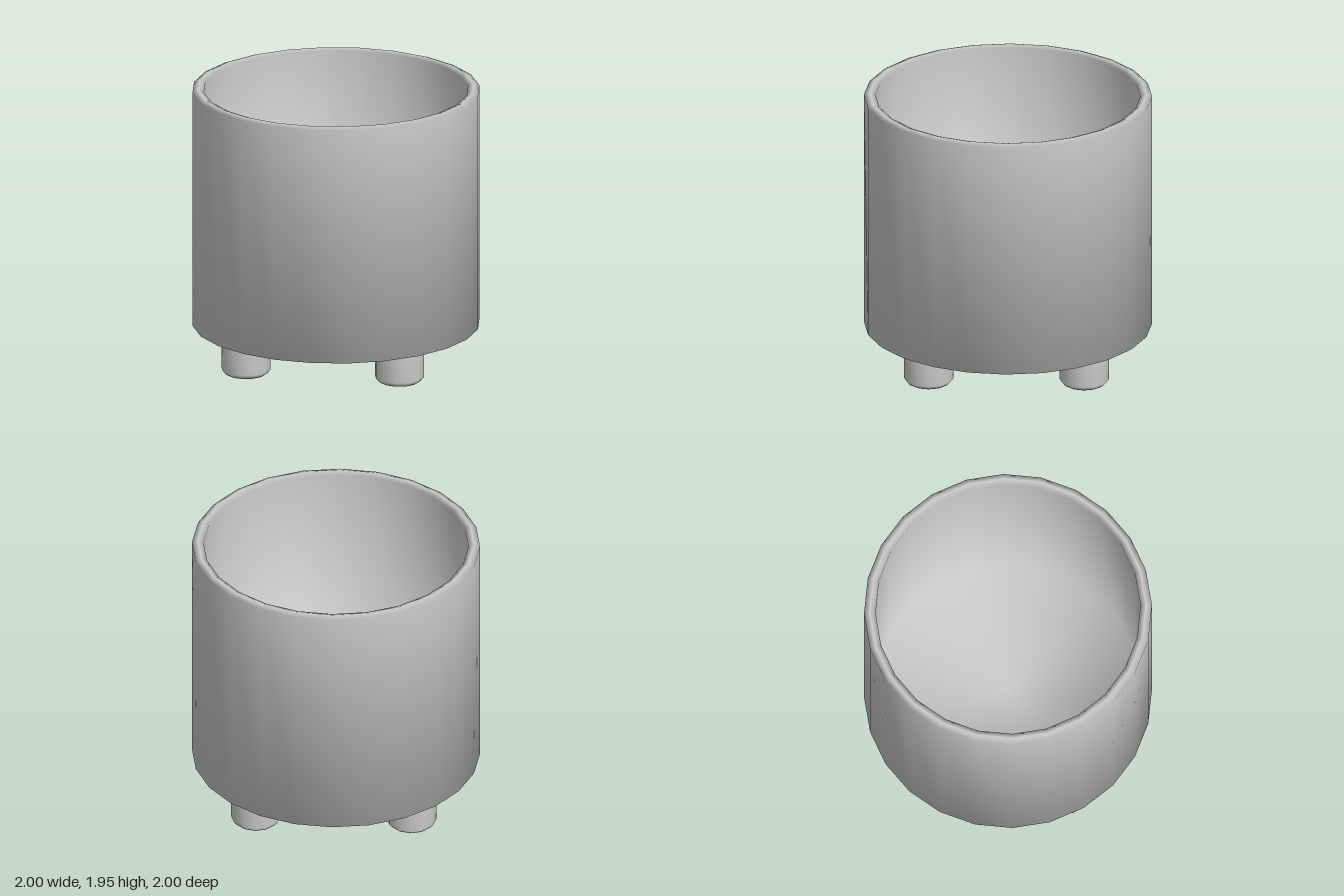
import * as THREE from 'three';

const material = new THREE.MeshStandardMaterial({ color: 0xcccccc });

// Smooth turned solid from [radius, height] pairs
function turned(name, profile, sides) {
  const points = profile.map(([r, y]) => new THREE.Vector2(r, y));
  const mesh = new THREE.Mesh(new THREE.LatheGeometry(points, sides), material);
  mesh.name = name;
  return mesh;
}

export function createModel() {
  const model = new THREE.Group();
  model.name = 'footedCup';

  // Hollow cup: underside, outer wall, slightly crowned rim, inner wall, floor
  model.add(turned('cup', [
    [0, 0.24], [1, 0.24],
    [1, 1.93], [0.96, 1.945], [0.92, 1.93],
    [0.92, 0.32], [0, 0.32],
  ], 24));

  // Four short round feet with a bevelled lower edge
  const feet = new THREE.Group();
  feet.name = 'feet';
  for (const x of [-0.54, 0.54]) {
    for (const z of [-0.54, 0.54]) {
      const foot = turned('foot', [
        [0, 0], [0.135, 0], [0.15, 0.01], [0.172, 0.035], [0.172, 0.25],
      ], 12);
      foot.position.set(x, 0, z);
      feet.add(foot);
    }
  }
  model.add(feet);
  return model;
}
